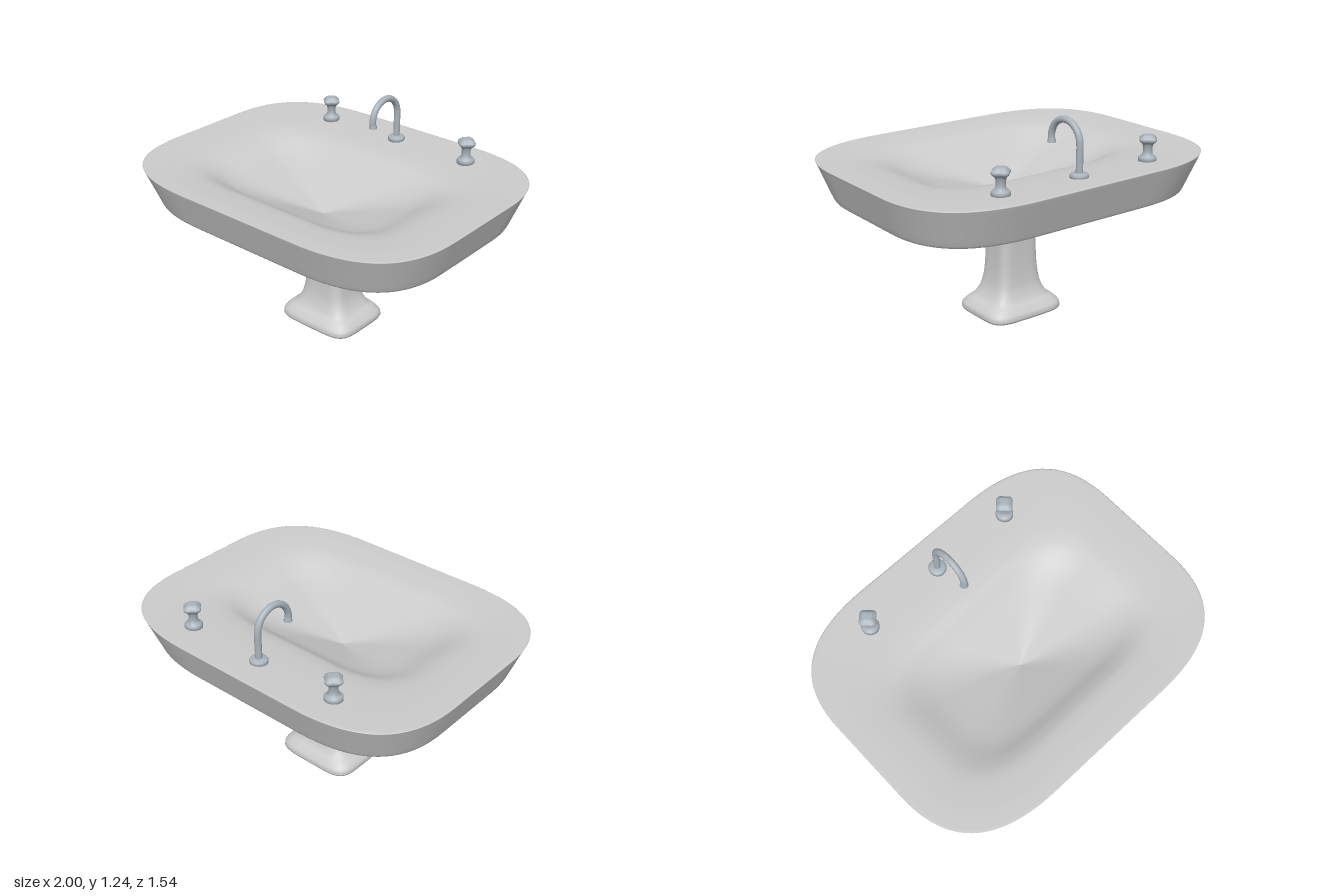
import * as THREE from 'three';

// Unit outline of the bowl: straight sides joined by broad curved corners.
function bowlOutline() {
  const corner = new THREE.CubicBezierCurve(
    new THREE.Vector2(1, 0.33), new THREE.Vector2(1, 0.77),
    new THREE.Vector2(0.82, 1), new THREE.Vector2(0.4, 1));
  const quarter = corner.getPoints(20);
  const back = quarter.slice().reverse();
  const mid = (x, z) => new THREE.Vector2(x, z);
  return [
    mid(1, 0), ...quarter, mid(0, 1), ...back.map(p => mid(-p.x, p.y)),
    mid(-1, 0), ...quarter.map(p => mid(-p.x, -p.y)), mid(0, -1), ...back.map(p => mid(p.x, -p.y)),
  ];
}

// Outline from a radius rule, running from +x towards +z.
function polarOutline(n, rule) {
  return Array.from({ length: n }, (_, i) => {
    const a = (i / n) * Math.PI * 2, r = rule(a);
    return new THREE.Vector2(Math.cos(a) * r, Math.sin(a) * r);
  });
}

// Skin through sections [halfX, halfZ, y, centreZ] sharing one outline.
function loft(sections, outline) {
  const pos = [], idx = [], n = outline.length;
  for (const [hx, hz, y, cz = 0] of sections)
    for (const p of outline) pos.push(p.x * hx, y, p.y * hz + cz);
  for (let i = 0; i < sections.length - 1; i++)
    for (let j = 0; j < n; j++) {
      const a = i * n + j, b = i * n + (j + 1) % n, c = a + n, d = b + n;
      idx.push(a, c, b, b, c, d);
    }
  const g = new THREE.BufferGeometry();
  g.setAttribute('position', new THREE.Float32BufferAttribute(pos, 3));
  g.setIndex(idx);
  g.computeVertexNormals();
  return g;
}

// Smooth run of sections through a few [halfX, halfZ, y] stations.
function smoothSections(stations, steps) {
  const curve = new THREE.CatmullRomCurve3(stations.map(s => new THREE.Vector3(...s)));
  return curve.getPoints(steps).map(p => [p.x, p.y, p.z]);
}

export function createModel() {
  const model = new THREE.Group();
  const ceramic = new THREE.MeshStandardMaterial({ color: 0xcccccc });
  const metal = new THREE.MeshStandardMaterial({ color: 0xaab4bc });
  const add = (parent, name, geometry, material) => {
    const m = new THREE.Mesh(geometry, material);
    m.name = name;
    parent.add(m);
    return m;
  };

  // Bowl: shallow underside, flared wall, rim, then the sunken basin
  const shell = [
    [0, 0, 0.685], [0.4, 0.3, 0.685], [0.88, 0.66, 0.719], [0.905, 0.68, 0.721],
    [0.918, 0.691, 0.725], [0.925, 0.697, 0.738], [0.935, 0.706, 0.765],
    [0.992, 0.764, 0.925], [0.998, 0.769, 0.94], [1, 0.77, 0.944],
  ];
  const basin = smoothSections([
    [0.995, 0.765, 0.946], [0.85, 0.62, 0.94], [0.68, 0.43, 0.915],
    [0.5, 0.31, 0.843], [0.25, 0.155, 0.773], [0, 0, 0.705],
  ], 40).map(([hx, hz, y]) => [hx, hz, y, 0.085 * Math.min(1, Math.max(0, (1 - hx) / 0.34))]);
  add(model, 'bowl', loft([...shell, ...basin], bowlOutline()), ceramic);

  // Pedestal: softly squared column with flared foot and head
  const squared = polarOutline(64, a =>
    Math.pow(Math.abs(Math.cos(a)) ** 5 + Math.abs(Math.sin(a)) ** 5, -1 / 5));
  const column = smoothSections([
    [0.253, 0.212, 0.012], [0.25, 0.208, 0.035], [0.225, 0.185, 0.065], [0.182, 0.152, 0.1],
    [0.145, 0.122, 0.18], [0.125, 0.107, 0.42], [0.132, 0.115, 0.56],
    [0.165, 0.14, 0.625], [0.215, 0.175, 0.69],
  ], 48);
  add(model, 'pedestal', loft(
    [[0, 0, 0], [0.24, 0.2, 0], [0.248, 0.207, 0.002], ...column], squared), ceramic);

  // Tap handles: round foot and neck with a four-lobed grip
  const foot = [[0, 0.93], [0.05, 0.93], [0.05, 0.957], [0.044, 0.965], [0.03, 0.972],
    [0.025, 0.99], [0.025, 1.015], [0.032, 1.035]].map(p => new THREE.Vector2(...p));
  const lobed = polarOutline(40, a => 0.9 + 0.1 * Math.cos(4 * a));
  const grip = smoothSections([
    [0.026, 0.026, 1.02], [0.036, 0.036, 1.037], [0.054, 0.054, 1.052], [0.056, 0.056, 1.064],
    [0.042, 0.042, 1.077], [0.03, 0.03, 1.085], [0, 0, 1.087],
  ], 24);
  for (const side of [1, -1]) {
    const handle = new THREE.Group();
    handle.name = side > 0 ? 'leftTapHandle' : 'rightTapHandle';
    handle.position.set(side * 0.5, 0, -0.575);
    add(handle, 'handleFoot', new THREE.LatheGeometry(foot, 32), metal);
    add(handle, 'handleGrip', loft(grip, lobed), metal);
    model.add(handle);
  }

  // Spout: base flange, gooseneck tube and a small nozzle
  const spout = new THREE.Group();
  spout.name = 'spout';
  const flange = [[0, 0.93], [0.05, 0.93], [0.05, 0.953], [0.045, 0.961], [0.024, 0.967], [0, 0.967]]
    .map(p => new THREE.Vector2(...p));
  add(spout, 'spoutBase', new THREE.LatheGeometry(flange, 32), metal).position.z = -0.585;
  const neck = [new THREE.Vector3(0, 0.95, -0.585), new THREE.Vector3(0, 1.03, -0.585)];
  for (let i = 0; i <= 12; i++) {
    const a = Math.PI * (1 - i / 12);
    neck.push(new THREE.Vector3(0, 1.11 + 0.115 * Math.sin(a), -0.47 + 0.115 * Math.cos(a)));
  }
  neck.push(new THREE.Vector3(0, 1.085, -0.358));
  add(spout, 'gooseneck', new THREE.TubeGeometry(new THREE.CatmullRomCurve3(neck), 64, 0.019, 16), metal);
  add(spout, 'nozzle', new THREE.CylinderGeometry(0.02, 0.024, 0.025, 24), metal)
    .position.set(0, 1.0925, -0.358);
  model.add(spout);

  return model;
}
